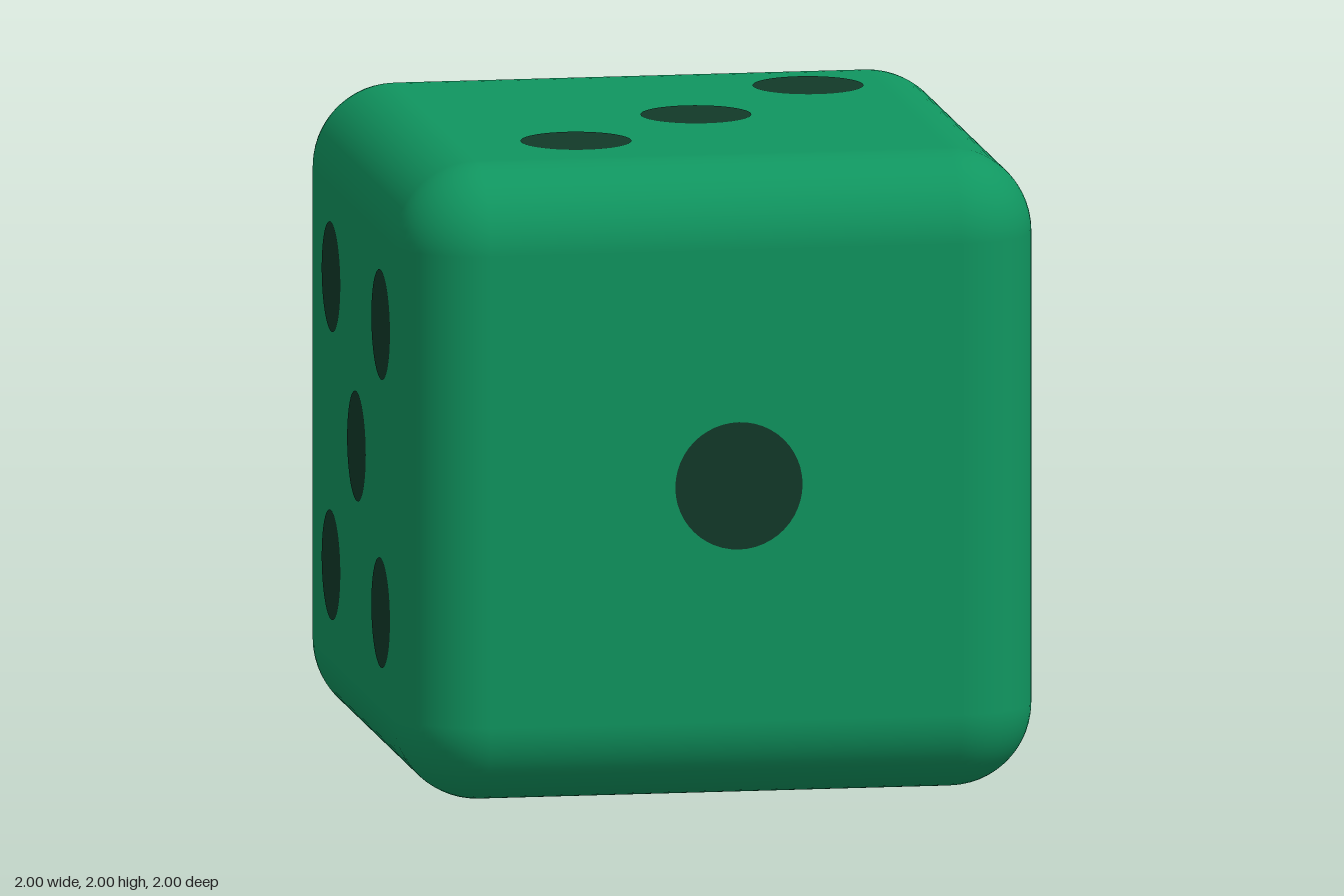
import * as THREE from 'three';
import { RoundedBoxGeometry } from 'three/addons/geometries/RoundedBoxGeometry.js';

const bodyGreen = new THREE.MeshStandardMaterial({ name: 'bodyGreen', color: 0x109660 });
const pipDark = new THREE.MeshStandardMaterial({ name: 'pipDark', color: 0x123a29 });

// Pips per face: outward normal, radius, and centres relative to the cube's middle
const FACES = [
  { name: 'frontPip', normal: [0, 0, 1], radius: 0.2, at: [[0.04, 0, 1]] },
  { name: 'leftPip', normal: [1, 0, 0], radius: 0.186, at: [[1, -0.415, 0.315], [1, 0.425, -0.455]] },
  { name: 'topPip', normal: [0, 1, 0], radius: 0.172, at: [[-0.375, 1, 0.43], [0.075, 1, 0], [0.51, 1, -0.485]] },
  { name: 'bottomPip', normal: [0, -1, 0], radius: 0.168, at: grid([0.42, -0.507], [-0.46, 0.45], (x, z) => [x, -1, z]) },
  {
    name: 'rightPip', normal: [-1, 0, 0], radius: 0.172,
    at: [[-1, 0, 0.06], ...grid([-0.41, 0.507], [-0.45, 0.455], (z, y) => [-1, y, z])],
  },
  { name: 'backPip', normal: [0, 0, -1], radius: 0.164, at: grid([0.404, -0.058, -0.52], [-0.452, 0.458], (x, y) => [x, y, -1]) },
];

// All combinations of two coordinate lists
function grid(us, vs, place) {
  return us.flatMap((u) => vs.map((v) => place(u, v)));
}

export function createModel() {
  const model = new THREE.Group();
  model.name = 'die';
  const centre = new THREE.Group();
  centre.name = 'cube';
  centre.position.y = 1;
  model.add(centre);

  // Rounded cube
  const body = new THREE.Mesh(new RoundedBoxGeometry(2, 2, 2, 8, 0.26), bodyGreen);
  body.name = 'body';
  centre.add(body);

  // Flat round pips just proud of each face
  const front = new THREE.Vector3(0, 0, 1);
  for (const { name, normal, radius, at } of FACES) {
    const n = new THREE.Vector3(...normal);
    const disc = new THREE.CircleGeometry(radius, 48);
    at.forEach((p, i) => {
      const pip = new THREE.Mesh(disc, pipDark);
      pip.name = name + (i + 1);
      pip.quaternion.setFromUnitVectors(front, n);
      pip.position.set(...p).addScaledVector(n, 0.002);
      centre.add(pip);
    });
  }
  return model;
}
